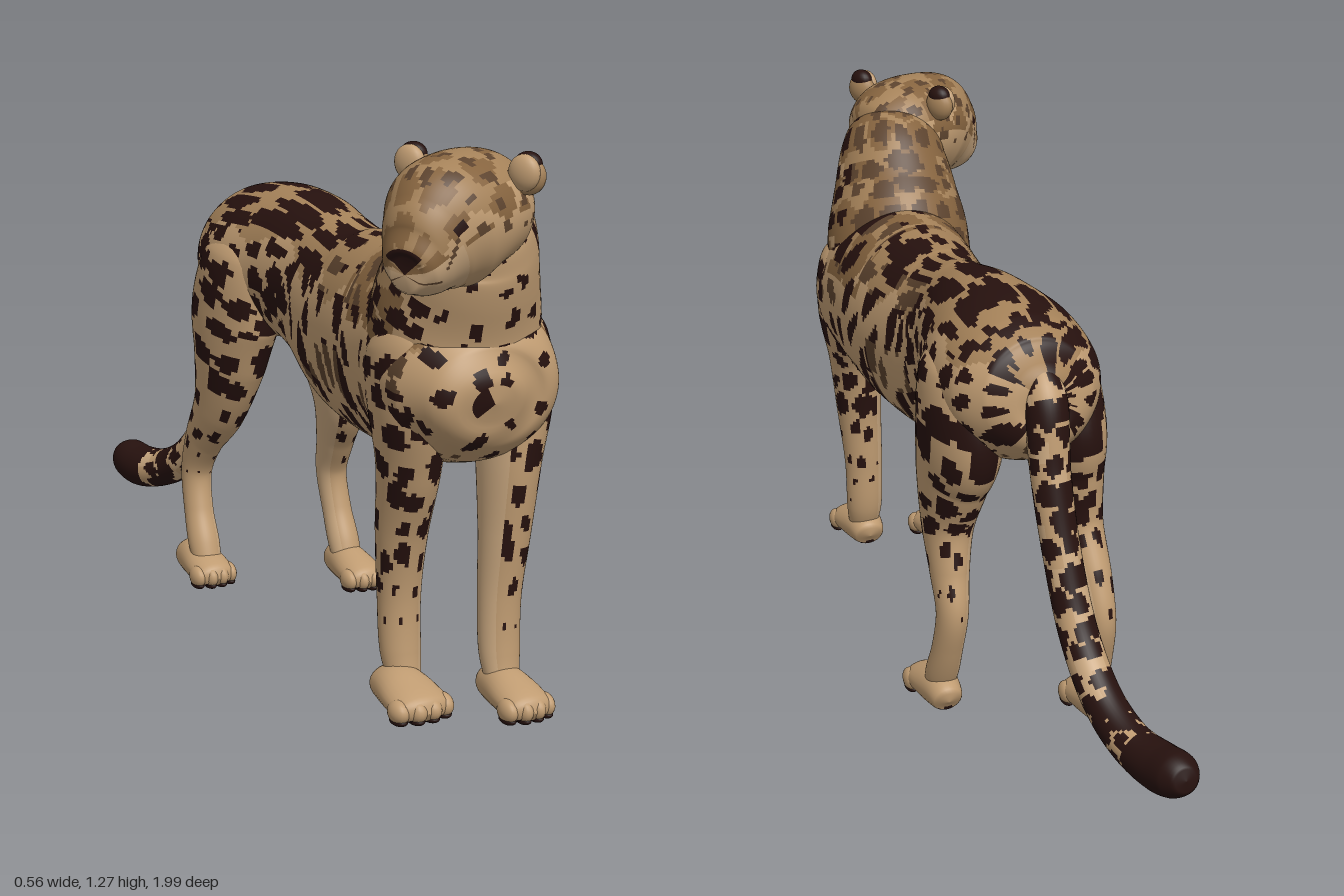
import * as THREE from 'three';

const colour = (name, hex) => {
  const m = new THREE.MeshStandardMaterial({ color: hex });
  m.name = name;
  return m;
};
const FUR = 0, PALE = 1, UPPER = 2, FADED = 3, DARK = 4, BROWN = 5;

const hash = (i, j, k) => {
  const s = Math.sin(i * 127.1 + j * 311.7 + k * 74.7) * 43758.5453;
  return s - Math.floor(s);
};
const clamp = THREE.MathUtils.clamp;

// True inside one of the jittered blobs of a grid that wraps n times round a limb.
function spotted(u, v, n, r) {
  u += 0.06 * Math.sin(v * 9);
  v += 0.06 * Math.sin(u * 8);
  for (let i = Math.floor(u) - 1; i <= Math.floor(u) + 1; i++) {
    for (let j = Math.floor(v) - 2; j <= Math.floor(v) + 1; j++) {
      const w = ((j % n) + n) % n;
      const cu = i + 0.5 + 0.45 * (hash(i, w, 1) - 0.5);
      const cv = j + 0.5 + 0.45 * (hash(i, w, 2) - 0.5) + 0.5 * (i & 1);
      if (Math.hypot(u - cu, v - cv) < r * (0.65 + 0.55 * hash(i, w, 3))) return true;
    }
  }
  return false;
}

// Smooth closed skin through elliptical sections [x, y, z, halfWidth, halfDepth];
// paint(p, s, a, t) picks the material of each face.
function loft(name, mats, rings, axis, nR, nS, paint) {
  const path = new THREE.CatmullRomCurve3(rings.map(r => new THREE.Vector3(r[0], r[1], r[2])));
  const size = new THREE.CatmullRomCurve3(rings.map((r, i) => new THREE.Vector3(r[3], r[4], i * 0.05)));
  const pos = [], arc = [], param = [];
  let last = null, s = 0;
  for (let i = 0; i <= nR; i++) {
    const t = 0.7 * path.getUtoTmapping(i / nR) + 0.3 * i / nR;
    const c = path.getPoint(t), d = size.getPoint(t), T = path.getTangent(t);
    const H = T.clone().cross(axis).normalize(), W = H.clone().cross(T);
    const open = i === 0 || i === nR ? 0 : 1;
    if (last) s += c.distanceTo(last);
    last = c;
    arc.push(s);
    param.push(t);
    for (let j = 0; j < nS; j++) {
      const a = j / nS * Math.PI * 2;
      const p = c.clone().addScaledVector(W, open * Math.cos(a) * Math.max(d.x, 0.002))
        .addScaledVector(H, open * Math.sin(a) * Math.max(d.y, 0.002));
      pos.push(p.x, p.y, p.z);
    }
  }
  const buckets = mats.map(() => []);
  const at = k => new THREE.Vector3().fromArray(pos, k * 3);
  for (let i = 0; i < nR; i++) {
    for (let j = 0; j < nS; j++) {
      const j2 = (j + 1) % nS;
      const a = i * nS + j, b = i * nS + j2, c = a + nS, d = b + nS;
      const mid = at(a).add(at(d)).multiplyScalar(0.5);
      const m = paint(mid, (arc[i] + arc[i + 1]) / 2, (j + 0.5) / nS * Math.PI * 2, (param[i] + param[i + 1]) / 2);
      buckets[m].push(a, b, c, b, d, c);
    }
  }
  const g = new THREE.BufferGeometry();
  g.setAttribute('position', new THREE.Float32BufferAttribute(pos, 3));
  g.setIndex(buckets.flat());
  let start = 0;
  buckets.forEach((list, m) => {
    if (list.length) g.addGroup(start, list.length, m);
    start += list.length;
  });
  g.computeVertexNormals();
  const mesh = new THREE.Mesh(g, mats);
  mesh.name = name;
  return mesh;
}

export function createModel() {
  const mats = [colour('tanFur', 0xc09c72), colour('paleFur', 0xcaa880), colour('backFur', 0xa58259),
    colour('fadedSpots', 0x5c432e), colour('darkSpots', 0x26110e), colour('brownFur', 0x86643f)];
  const X = new THREE.Vector3(1, 0, 0), TAU = Math.PI * 2;
  const model = new THREE.Group();
  model.name = 'spottedCat';

  // Torso: long streaks on the back, slanted bars on the ribs, spots elsewhere
  model.add(loft('torso', mats, [
    [.05, .87, -.46, .01, .01], [.05, .87, -.45, .07, .07], [.05, .86, -.41, .13, .13],
    [.05, .85, -.33, .18, .17], [.05, .85, -.2, .19, .188], [.05, .85, -.06, .16, .187],
    [.05, .82, .05, .14, .2], [.05, .77, .2, .155, .23], [.05, .762, .4, .182, .24],
    [.045, .77, .55, .192, .24], [.03, .755, .68, .205, .21], [.01, .742, .79, .185, .165],
    [0, .735, .845, .135, .115], [0, .732, .872, .075, .06], [0, .73, .88, .01, .01],
  ], X, 190, 120, (p, s, a) => {
    const up = Math.sin(a), v = a / TAU;
    if (p.z > 0.79) return spotted(p.x / 0.08, p.y / 0.08, 1000, 0.25) ? DARK : FUR;
    if (up < -0.8) return spotted(s / 0.06, v * 18, 18, 0.22) ? FADED : FUR;
    let hit;
    if (up > 0.5 && p.z > -0.34 && p.z < 0.42) hit = spotted(s / 0.17, v * 20, 20, 0.43);
    else if (p.z > 0.1 && p.z < 0.56) hit = spotted(s / 0.066 + up * 1.2, v * 9, 9, 0.39);
    else hit = spotted(s / 0.072, v * 16, 16, 0.42);
    if (hit) return p.z > 0.1 && hash(Math.floor(s / 0.1), Math.floor(v * 14), 7) > 0.78 ? FADED : DARK;
    if (up > 0.3 && p.z > 0.4 && spotted(s / 0.1, v * 9, 9, 0.45)) return BROWN;
    return up > 0.5 + 0.12 * Math.sin(s * 30) ? UPPER : FUR;
  }));

  // Neck with a mottled nape
  model.add(loft('neck', mats, [
    [.03, .72, .63, .14, .16], [.025, .81, .65, .18, .195], [.02, .91, .682, .18, .192],
    [.01, 1.0, .73, .158, .172], [0, 1.08, .772, .137, .152], [-.02, 1.13, .81, .115, .12], [-.03, 1.15, .83, .03, .03],
  ], X, 64, 80, (p, s, a) => {
    const up = Math.sin(a), v = a / TAU;
    if (up < -0.6) return spotted(s / 0.08, v * 14, 14, 0.2) ? DARK : FUR;
    if (spotted(s / 0.062, v * 15, 15, 0.39)) return up > 0.45 ? FADED : DARK;
    if (up > -0.2 && spotted(s / 0.09, v * 9, 9, 0.5)) return BROWN;
    return up > 0.1 + 0.15 * Math.sin(s * 40) ? UPPER : FUR;
  }));

  // Head, turned to its right: sections [distance forward, y, halfWidth, halfHeight]
  const ahead = new THREE.Vector3(-.88, 0, .475), across = new THREE.Vector3(.475, 0, .88);
  model.add(loft('head', mats, [
    [-.13, 1.13, .02, .02], [-.11, 1.135, .09, .085], [-.05, 1.14, .13, .12], [.03, 1.137, .14, .132],
    [.1, 1.117, .126, .142], [.15, 1.09, .1, .12], [.19, 1.062, .078, .088], [.217, 1.047, .062, .064],
    [.232, 1.04, .04, .042], [.236, 1.04, .006, .006],
  ].map(([f, y, w, h]) => [-.05 + ahead.x * f, y, .835 + ahead.z * f, w, h]), across, 80, 72, (p, s, a, t) => {
    const up = Math.sin(a), side = Math.abs(Math.cos(a)), v = a / TAU;
    if (t > 0.82 && up > 0.02 && side < 0.75) return DARK; // nose
    const lift = Math.asin(clamp(up, -1, 1));
    if (Math.hypot((t - 0.55) / 0.028, (lift - 0.42) / 0.1) < 1) return DARK; // eyes
    if (t > 0.56 && t < 0.7 && Math.abs(lift - 0.4 + (t - 0.56) * 3.5) < 0.05) return FADED; // tear lines
    if (t > 0.74 && Math.abs(lift + 0.4) < 0.06) return FADED; // mouth
    if (t > 0.58 && up < 0.2) return PALE;
    if (t < 0.52 && up > -0.2 && spotted(s / 0.055, v * 15, 15, 0.25)) return FADED;
    if (up > 0.1 && spotted(s / 0.08, v * 10, 10, 0.42)) return BROWN;
    return up > 0.45 + 0.12 * Math.sin(s * 50) ? UPPER : FUR;
  }));

  // Ears: tan cups with dark tips
  const ball = new THREE.SphereGeometry(1, 20, 14);
  const blob = (name, mat, x, y, z, sx, sy, sz) => {
    const m = new THREE.Mesh(ball, mat);
    m.name = name;
    m.position.set(x, y, z);
    m.scale.set(sx, sy, sz);
    return m;
  };
  for (const [side, x, z] of [['left', .022, .95], ['right', -.115, .722]]) {
    const ear = new THREE.Group();
    ear.name = side + 'Ear';
    ear.add(blob('earBack', mats[UPPER], .004, -.012, 0, .026, .04, .04));
    ear.add(blob('earTip', mats[DARK], .004, .012, 0, .023, .026, .031));
    ear.add(blob('earFront', mats[FUR], -.012, -.004, 0, .02, .038, .036));
    ear.position.set(x, 1.232, z);
    ear.rotation.y = 0.5;
    model.add(ear);
  }

  // Tail with a dark tip
  model.add(loft('tail', mats, [
    [.05, .92, -.4, .04, .04], [.05, .86, -.445, .05, .05], [.05, .7, -.48, .046, .046],
    [.04, .52, -.53, .044, .044], [.025, .35, -.6, .045, .045], [.005, .23, -.7, .047, .047],
    [-.02, .175, -.8, .05, .05], [-.05, .16, -.89, .056, .056], [-.062, .17, -.95, .052, .052],
    [-.065, .175, -.985, .03, .03], [-.065, .176, -.99, .004, .004],
  ], X, 130, 36, (p, s, a) => {
    if (p.z < -0.835 || (p.z < -0.73 && p.z > -0.765)) return DARK;
    if (spotted(s / 0.062, a / TAU * 5, 5, 0.45)) return DARK;
    return hash(Math.floor(s / 0.05), Math.floor(a * 1.2), 5) > 0.7 ? PALE : FUR;
  }));

  // Legs: spots on the outer side fade out towards the foot
  const leg = (name, sections, outer, fade, size) => loft(name, mats, sections, X, 100, 40, (p, s, a) => {
    const out = Math.cos(a) * outer;
    if (out < -0.55) return PALE;
    const r = size * clamp((p.y - fade) / 0.35 + 0.4, 0, 1);
    return r > 0.1 && spotted(s / 0.075 + outer * 20, a / TAU * 7, 7, r) ? DARK : FUR;
  });

  // Paw: low wedge with four toes and a dark sole
  const paw = (name, x, z, w) => {
    const g = new THREE.Group();
    g.name = name;
    g.add(loft('pawBody', mats, [
      [0, .04, -.1, .01, .01], [0, .045, -.09, w * .65, .035], [0, .05, -.04, w * .85, .048],
      [0, .042, .03, w, .04], [0, .033, .08, w * .9, .03], [0, .03, .1, .02, .012],
    ], X, 24, 28, p => (p.y < 0.018 ? DARK : FUR)));
    for (let i = 0; i < 4; i++) {
      const k = i - 1.5, zt = .078 - Math.abs(k) * .012;
      g.add(blob('toe', mats[FUR], k * w * .52, .032, zt, w * .33, .027, .033));
      g.add(blob('toePad', mats[DARK], k * w * .52, .012, zt, w * .26, .011, .028));
    }
    g.position.set(x, 0, z);
    return g;
  };

  const front = [
    [.13, .9, .64, .03, .05], [.15, .82, .67, .078, .12], [.15, .7, .7, .078, .12], [.13, .56, .725, .067, .088],
    [.12, .4, .73, .058, .062], [.112, .25, .727, .05, .047], [.11, .12, .735, .047, .042], [.108, .04, .76, .035, .03],
  ];
  const hind = [
    [.13, .95, -.2, .03, .05], [.15, .86, -.2, .1, .14], [.17, .72, -.215, .092, .165], [.18, .6, -.19, .078, .13],
    [.19, .48, -.185, .06, .09], [.2, .37, -.225, .046, .058], [.205, .28, -.256, .038, .045],
    [.21, .18, -.235, .037, .038], [.212, .1, -.2, .04, .038], [.212, .04, -.17, .034, .028],
  ];
  // The upper end stays at the hip or shoulder while the foot strides by dz
  const stride = (rings, moveX, dz) => rings.map(([x, y, z, w, h]) =>
    [moveX(x), y, z + dz * clamp((0.8 - y) / 0.45, 0, 1), w, h]);
  model.add(leg('leftFrontLeg', front, 1, .2, .4), paw('leftFrontPaw', .107, .795, .06));
  model.add(leg('rightFrontLeg', stride(front, x => x * -.4 - .035, -.11), -1, .2, .4), paw('rightFrontPaw', -.1, .695, .07));
  model.add(leg('leftHindLeg', hind, 1, .33, .42), paw('leftHindPaw', .214, -.155, .055));
  model.add(leg('rightHindLeg', stride(hind, x => .1 - x, -.15), -1, .33, .42), paw('rightHindPaw', -.115, -.35, .055));
  return model;
}
